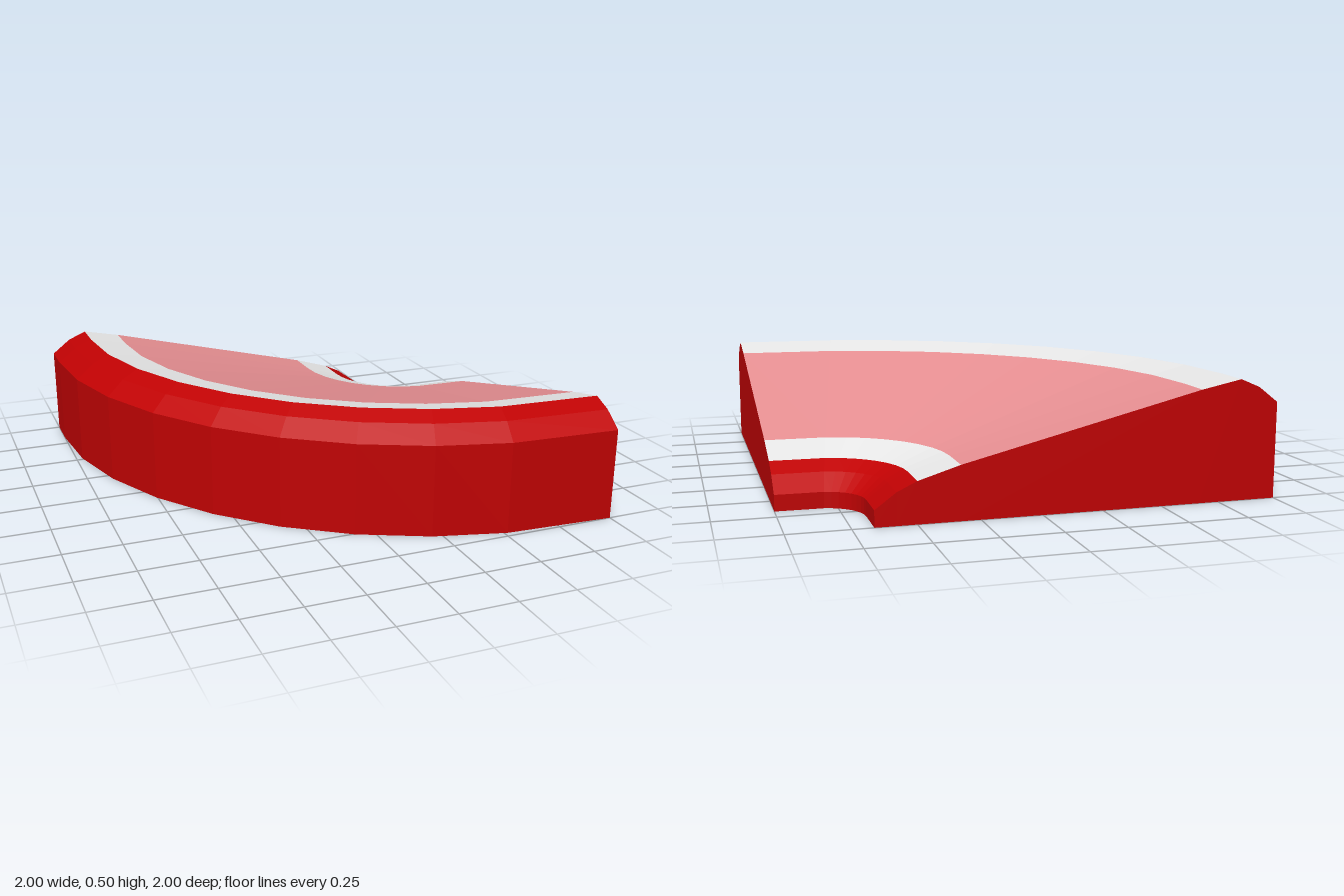
import * as THREE from 'three';

// cross-section: [distance from the inside corner, height]
const profile = [
  [0.335, 0], [0.335, 0.067], [0.42, 0.13], [0.5, 0.168], [0.67, 0.22],
  [1.665, 0.465], [1.835, 0.5], [1.917, 0.465], [2, 0.4], [2, 0],
];
const STEPS = 10;
const R = 0.167; // straight lead-in before the bend

// point on the swept section: straight lead-in, arc in 10 degree steps, straight lead-out
function sweepPoint([d, y], i) {
  if (i === 0) return [1 - d, y, -1];
  if (i === STEPS) return [1, y, d - 1];
  const a = THREE.MathUtils.degToRad((i - 1) * 10);
  return [1 - R - (d - R) * Math.cos(a), y, R - 1 + (d - R) * Math.sin(a)];
}

function quad(out, a, b, c, e) {
  out.push(...a, ...b, ...c, ...a, ...c, ...e);
}

// strip along the bend between two profile points
function strip(out, p, q) {
  for (let i = 0; i < STEPS; i++) {
    quad(out, sweepPoint(p, i), sweepPoint(q, i), sweepPoint(q, i + 1), sweepPoint(p, i + 1));
  }
}

// flat end wall, filled in columns down to the ground
function endWall(out, i) {
  for (let k = 1; k < profile.length - 2; k++) {
    const p = profile[k], q = profile[k + 1];
    const c = [[p[0], 0], [q[0], 0], q, p].map((v) => sweepPoint(v, i));
    if (i !== 0) c.reverse();
    quad(out, ...c);
  }
}

function makeMesh(name, positions, material) {
  const geo = new THREE.BufferGeometry();
  geo.setAttribute('position', new THREE.Float32BufferAttribute(positions, 3));
  geo.computeVertexNormals();
  const mesh = new THREE.Mesh(geo, material);
  mesh.name = name;
  return mesh;
}

export function createModel() {
  const red = new THREE.MeshStandardMaterial({ name: 'red', color: 0xc00203 });
  const darkRed = new THREE.MeshStandardMaterial({ name: 'darkRed', color: 0x780203 });
  const white = new THREE.MeshStandardMaterial({ name: 'white', color: 0xebebeb });
  const pink = new THREE.MeshStandardMaterial({ name: 'pink', color: 0xe89093 });

  const group = new THREE.Group();
  group.name = 'bankedCorner';

  const addBand = (name, from, to, material) => {
    const pos = [];
    for (let k = from; k < to; k++) strip(pos, profile[k], profile[k + 1]);
    group.add(makeMesh(name, pos, material));
  };

  // bands from the inside of the bend to the outside
  addBand('innerKerb', 0, 3, red);
  addBand('innerStripe', 3, 4, white);
  addBand('roadSurface', 4, 5, pink);
  addBand('outerStripe', 5, 6, white);
  addBand('outerKerb', 6, 9, red);

  // underside and the two end walls
  const under = [];
  strip(under, profile[9], profile[0]);
  group.add(makeMesh('underside', under, darkRed));
  for (const [name, i] of [['backEndWall', 0], ['leftEndWall', STEPS]]) {
    const pos = [];
    endWall(pos, i);
    group.add(makeMesh(name, pos, red));
  }
  return group;
}
